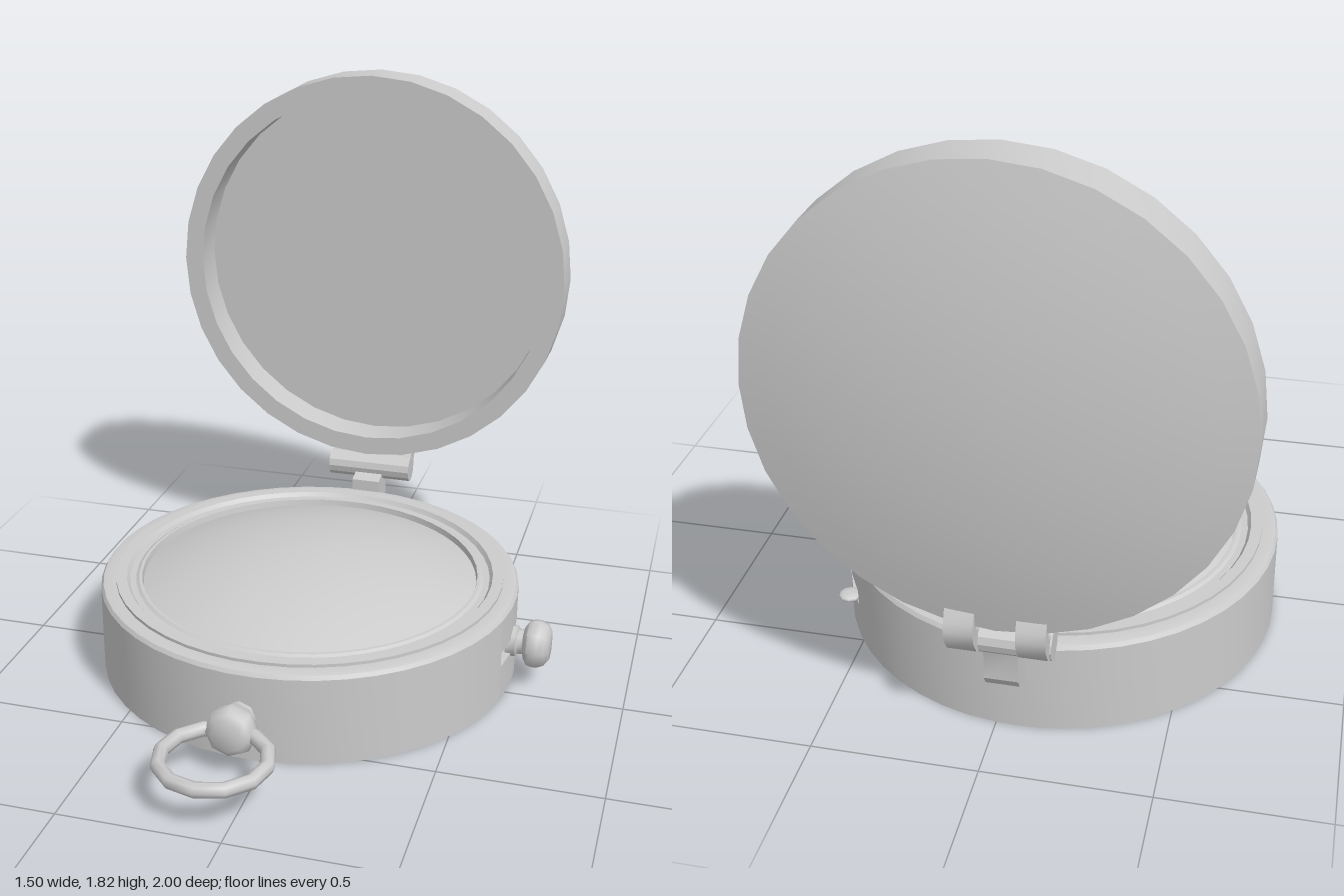
import * as THREE from 'three';
import { toCreasedNormals } from 'three/addons/utils/BufferGeometryUtils.js';

const material = new THREE.MeshStandardMaterial({ color: 0xcccccc, side: THREE.DoubleSide });

function part(name, geometry, crease = 0.5) {
  const mesh = new THREE.Mesh(toCreasedNormals(geometry, crease), material);
  mesh.name = name;
  return mesh;
}

function lathe(points, segments, start = 0, length = Math.PI * 2) {
  return new THREE.LatheGeometry(points.map(([r, y]) => new THREE.Vector2(r, y)), segments, start, length);
}

// Profile of a shallow spherical cap from its edge (radius r) to its centre
function cap(r, y, rise, steps = 8) {
  const R = (r * r + rise * rise) / (2 * rise);
  return Array.from({ length: steps + 1 }, (_, i) => {
    const q = r * (1 - i / steps);
    return [q, y + rise - R + Math.sqrt(R * R - q * q)];
  });
}

// Side profile given as [distance back, height], extruded along x and centred on x
function plate(name, outline, x, width) {
  const shape = new THREE.Shape(outline.map(([b, y]) => new THREE.Vector2(b, y)));
  const geometry = new THREE.ExtrudeGeometry(shape, { depth: width, bevelEnabled: false });
  geometry.rotateY(Math.PI / 2).translate(x - width / 2, 0, 0);
  return part(name, geometry);
}

function knob(name) {
  return part(name, lathe([[0, -0.02], [0.052, -0.02], [0.052, 0.012], [0.042, 0.016], [0.042, 0.034],
    [0.055, 0.038], [0.075, 0.05], [0.08, 0.065], [0.08, 0.085], [0.07, 0.107], [0.05, 0.12], [0, 0.12]], 8), 0.9);
}

function createBase() {
  const base = new THREE.Group();
  base.name = 'base';
  const R = 0.69, inner = 0.645, low = 0.12, high = 0.17;
  const start = 1.35, length = 0.8;
  const top = [[R, 0.285], [0.682, 0.297], [0.67, 0.3], [0.64, 0.3], [0.64, 0.31], [0.605, 0.31],
    [0.595, 0.296], [0.575, 0.296], [0.565, 0.302], [0.555, 0.302], [0.55, 0.27]];
  // The wall is turned in two arcs; the shorter one carries the slot
  base.add(part('case', lathe([[0, 0], [R, 0], ...top], 42, start + length, Math.PI * 2 - length)));
  base.add(part('slottedCase', lathe([[0, 0], [R, 0], [R, low], [inner, low], [inner, high], [R, high], ...top],
    6, start, length)));
  for (const angle of [start, start + length]) {
    const end = part('slotEnd', new THREE.PlaneGeometry(R - inner, high - low));
    end.position.set(Math.sin(angle) * (R + inner) / 2, (low + high) / 2, Math.cos(angle) * (R + inner) / 2);
    end.rotation.y = angle - Math.PI / 2;
    base.add(end);
  }
  base.add(part('domedGlass', lathe(cap(0.556, 0.28, 0.11), 48)));
  base.position.set(-0.06, 0, -0.1);
  return base;
}

function createLid() {
  // Recess floor, rim, outer wall and domed back
  const geometry = lathe([[0, 0.12], [0.625, 0.12], [0.625, 0], [0.69, 0], ...cap(0.69, 0.135, 0.078)], 32);
  geometry.rotateX(-Math.PI / 2);
  const lid = part('lid', geometry);
  lid.position.set(-0.04, 1.13, -0.786);
  lid.rotation.y = -0.022;
  return lid;
}

function createHinge() {
  const hinge = new THREE.Group();
  hinge.name = 'hinge';
  const x = -0.04;
  const barrel = part('hingeBarrel', new THREE.CylinderGeometry(0.047, 0.047, 0.3, 12));
  barrel.rotation.z = Math.PI / 2;
  barrel.position.set(x, 0.37, -0.857);
  hinge.add(barrel);
  hinge.add(plate('baseLeaf', [[0.77, 0.185], [0.82, 0.185], [0.86, 0.205], [0.878, 0.235],
    [0.878, 0.33], [0.89, 0.36], [0.85, 0.37], [0.81, 0.35], [0.77, 0.34]], x, 0.1));
  for (const side of [-1, 1]) {
    hinge.add(plate('lidLeaf', [[0.86, 0.41], [0.905, 0.42], [0.915, 0.5], [0.928, 0.5], [0.945, 0.465],
      [0.952, 0.435], [0.945, 0.4], [0.915, 0.355], [0.88, 0.328], [0.85, 0.34]], x + side * 0.102, 0.085));
  }
  return hinge;
}

export function createModel() {
  const model = new THREE.Group();
  model.name = 'lidded compass';
  model.add(createBase(), createLid(), createHinge());

  // Slider knob on the left side
  const sideKnob = knob('sideKnob');
  sideKnob.rotation.z = -Math.PI / 2;
  sideKnob.position.set(0.63, 0.145, -0.085);
  model.add(sideKnob);

  // Small lever at the rear end of the slot
  const lever = new THREE.Group();
  lever.name = 'lever';
  const pad = part('leverPad', new THREE.SphereGeometry(0.036, 10, 8), 1);
  pad.scale.y = 0.38;
  const stem = part('leverStem', new THREE.BoxGeometry(0.08, 0.018, 0.03));
  stem.position.x = -0.045;
  lever.add(pad, stem);
  lever.position.set(0.555, 0.132, -0.45);
  lever.rotation.y = 0.52;
  model.add(lever);

  // Front knob holding the carrying ring
  const ringKnob = knob('ringKnob');
  ringKnob.rotation.x = Math.PI / 2;
  ringKnob.position.set(-0.08, 0.145, 0.59);
  const ring = part('carryingRing', new THREE.TorusGeometry(0.16, 0.023, 8, 12), 1);
  ring.rotation.x = Math.PI / 2;
  ring.position.set(-0.083, 0.142, 0.815);
  model.add(ringKnob, ring);
  return model;
}
